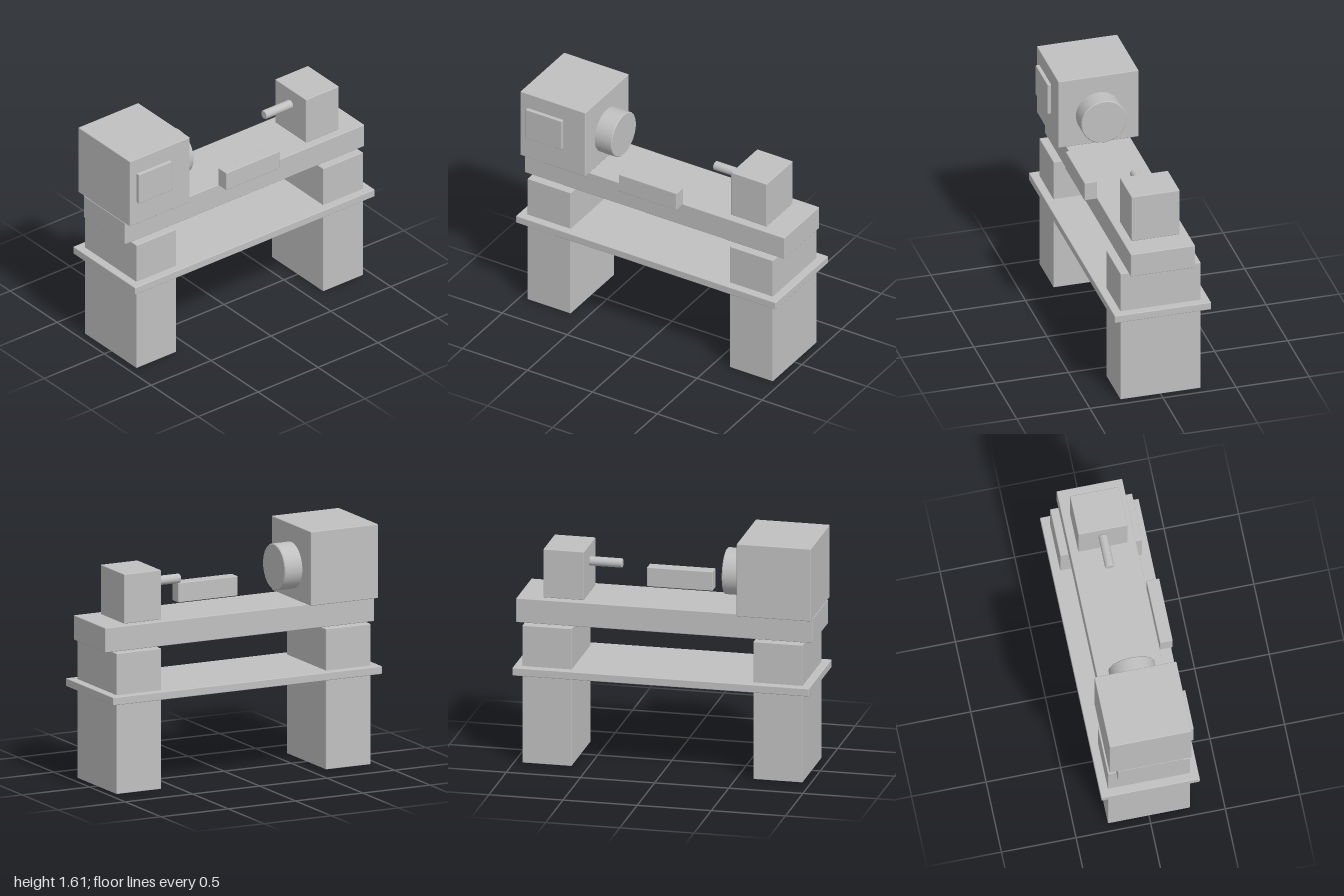
import * as THREE from 'three';
import { RoundedBoxGeometry } from 'three/addons/geometries/RoundedBoxGeometry.js';

const BEVEL = 0.005;

export function createModel() {
  const model = new THREE.Group();
  model.name = 'lathe';
  const castMetal = new THREE.MeshStandardMaterial({ color: 0xc0c0c0 });
  castMetal.name = 'grey cast metal';

  const add = (name, geometry) => {
    const mesh = new THREE.Mesh(geometry, castMetal);
    mesh.name = name;
    model.add(mesh);
    return mesh;
  };

  // Softly bevelled box given by its extents on each axis
  const box = (name, [x0, x1], [y0, y1], [z0, z1]) =>
    add(name, new RoundedBoxGeometry(x1 - x0, y1 - y0, z1 - z0, 2, BEVEL))
      .position.set((x0 + x1) / 2, (y0 + y1) / 2, (z0 + z1) / 2);

  // Bevelled cylinder lying along x, on the spindle axis
  const spindleY = 1.335;
  const shaft = (name, x0, x1, r) => {
    const h = (x1 - x0) / 2;
    const rings = [[0, -h], [r - BEVEL, -h], [r, -h + BEVEL], [r, h - BEVEL], [r - BEVEL, h], [0, h]];
    // Each profile segment is its own lathe band so the rims stay crisp
    const group = new THREE.Group();
    group.name = name;
    for (let i = 0; i < rings.length - 1; i++) {
      const band = [rings[i], rings[i + 1]].map(([x, y]) => new THREE.Vector2(x, y));
      const mesh = new THREE.Mesh(new THREE.LatheGeometry(band, 48), castMetal);
      mesh.name = name + 'Band';
      group.add(mesh);
    }
    group.rotation.z = -Math.PI / 2;
    group.position.set((x0 + x1) / 2, spindleY, 0);
    model.add(group);
  };

  // Stand: two pedestals and the chip tray between them
  box('rightPedestal', [-0.945, -0.612], [0, 0.947], [-0.275, 0.275]);
  box('leftPedestal', [0.612, 0.945], [0, 0.947], [-0.275, 0.275]);
  box('chipTray', [-1, 1], [0.613, 0.667], [-0.33, 0.33]);

  // Bed
  box('bed', [-1, 1], [0.947, 1.113], [-0.22, 0.22]);

  // Headstock with its control panel and chuck
  box('headstock', [-1, -0.5], [1.113, 1.612], [-0.275, 0.275]);
  box('controlPanel', [-0.945, -0.668], [1.28, 1.502], [0.272, 0.3]);
  shaft('chuck', -0.505, -0.37, 0.155);

  // Carriage apron on the front edge of the bed
  box('carriageApron', [-0.222, 0.222], [1.113, 1.245], [0.222, 0.308]);

  // Tailstock and quill
  box('tailstock', [0.555, 0.83], [1.113, 1.446], [-0.165, 0.165]);
  shaft('quill', 0.332, 0.556, 0.031);

  return model;
}
